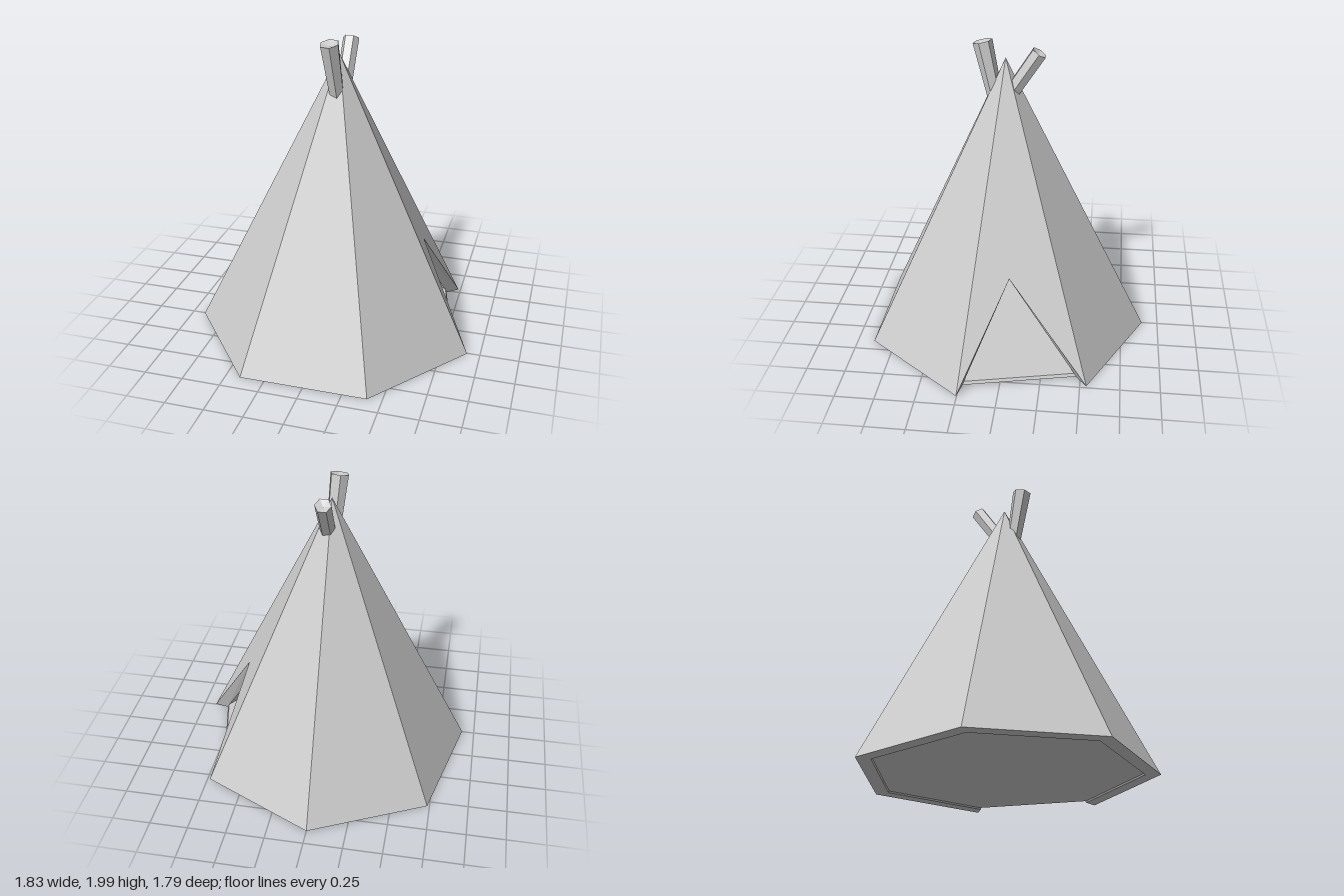
import * as THREE from 'three';

const SIDES = 7;
const DOOR = 1; // panel that carries the entrance
const CENTER_Z = 0.045;
const material = new THREE.MeshStandardMaterial({ color: 0xcccccc, flatShading: true });

// Base corner k of a seven-sided ring standing on the ground
function corner(k, radius) {
  const a = (Math.PI / SIDES) * (2 * k + 1);
  return new THREE.Vector3(radius * Math.sin(a), 0, CENTER_Z + radius * Math.cos(a));
}

// One pyramid skin: base corners, peak and the top point of the doorway
function skin(radius, height, doorHeight) {
  const base = Array.from({ length: SIDES }, (_, k) => corner(k, radius));
  const peak = new THREE.Vector3(0, height, CENTER_Z);
  const door = base[DOOR].clone().lerp(base[DOOR + 1], 0.42).lerp(peak, doorHeight / height);
  return { base, peak, door };
}

// Thick tent wall: outer and inner skins joined along the bottom and the doorway
function tentWall() {
  const outer = skin(0.94, 1.88, 0.64);
  const inner = skin(0.845, 1.69, 0.6);
  const points = [];
  const tri = (a, b, c) => points.push(a, b, c);
  const quad = (a, b, c, d) => { tri(a, b, c); tri(a, c, d); };

  for (let i = 0; i < SIDES; i++) {
    const j = (i + 1) % SIDES;
    const [a, b, c, d] = [outer.base[i], outer.base[j], inner.base[i], inner.base[j]];
    if (i === DOOR) {
      tri(a, outer.door, outer.peak);
      tri(outer.door, b, outer.peak);
      tri(inner.door, c, inner.peak);
      tri(d, inner.door, inner.peak);
      quad(outer.door, a, c, inner.door);
      quad(b, outer.door, inner.door, d);
    } else {
      tri(a, b, outer.peak);
      tri(d, c, inner.peak);
      quad(b, a, c, d);
    }
  }
  const geometry = new THREE.BufferGeometry().setFromPoints(points);
  geometry.computeVertexNormals();
  return geometry;
}

// Six-sided pole between two points, with a dished upper end
function pole(name, from, to, r0, r1, spin) {
  const axis = to.clone().sub(from);
  const length = axis.length();
  const profile = [[0, 0], [r0, 0], [r1, length], [0, length - 0.02]];
  const geometry = new THREE.LatheGeometry(profile.map(([x, y]) => new THREE.Vector2(x, y)), 6);
  geometry.rotateY(spin);
  const mesh = new THREE.Mesh(geometry, material);
  mesh.name = name;
  mesh.position.copy(from);
  mesh.quaternion.setFromUnitVectors(new THREE.Vector3(0, 1, 0), axis.normalize());
  return mesh;
}

export function createModel() {
  const group = new THREE.Group();
  group.name = 'tent';

  const wall = new THREE.Mesh(tentWall(), material);
  wall.name = 'tentWall';

  // Floor slab set inside the wall
  const floor = new THREE.Mesh(
    new THREE.CylinderGeometry(0.83, 0.84, 0.02, SIDES, 1, false, Math.PI / SIDES), material);
  floor.name = 'floor';
  floor.position.set(0, 0.02, CENTER_Z);

  // Pole ends sticking out below the peak
  const frontPole = pole('frontPole', new THREE.Vector3(0.005, 1.6, 0.105),
    new THREE.Vector3(-0.022, 1.975, 0.19), 0.047, 0.062, 0.25);
  const backPole = pole('backPole', new THREE.Vector3(0.018, 1.68, -0.005),
    new THREE.Vector3(0.018, 1.925, -0.165), 0.05, 0.052, Math.PI / 6);

  group.add(wall, floor, frontPole, backPole);
  return group;
}
